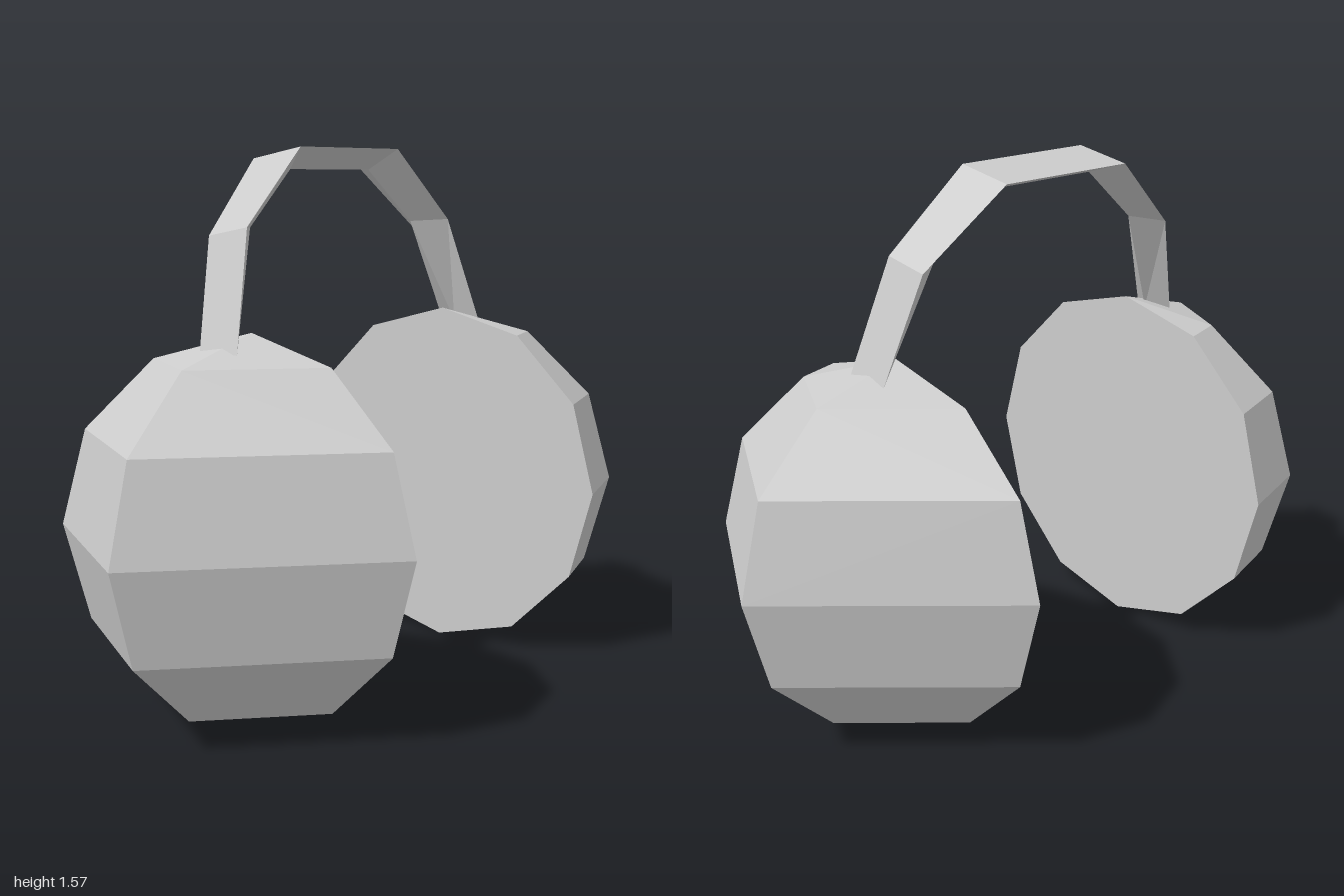
import * as THREE from 'three';
import { ConvexGeometry } from 'three/addons/geometries/ConvexGeometry.js';

const material = new THREE.MeshStandardMaterial({ color: 0xcccccc, flatShading: true });
const RADIUS = 0.54;
const rad = THREE.MathUtils.degToRad;

// Ear cup: a coarse half sphere, flat on the inside, with uneven meridians
function earCup(name, x, z, turn) {
  const points = [new THREE.Vector3(0, RADIUS, 0), new THREE.Vector3(0, -RADIUS, 0)];
  for (const meridian of [-90, 0, 60, 89.3]) {
    const a = rad(meridian + turn);
    for (let lat = -60; lat <= 60; lat += 30) {
      const r = RADIUS * Math.cos(rad(lat));
      points.push(new THREE.Vector3(r * Math.cos(a), RADIUS * Math.sin(rad(lat)), r * Math.sin(a)));
    }
  }
  const mesh = new THREE.Mesh(new ConvexGeometry(points), material);
  mesh.name = name;
  mesh.position.set(x, RADIUS, z);
  return mesh;
}

// Headband: a triangular section (outer front, outer back, inner ridge) swept over the arch
function headband() {
  const sections = [
    [[-0.585, 1.035, 0.06], [-0.58, 1.035, -0.078], [-0.54, 1.035, -0.01]],
    [[-0.48, 1.36, 0.005], [-0.48, 1.335, -0.133], [-0.385, 1.355, -0.07]],
    [[-0.238, 1.573, -0.012], [-0.238, 1.542, -0.186], [-0.192, 1.512, -0.09]],
    [[0.213, 1.573, -0.012], [0.213, 1.542, -0.186], [0.17, 1.512, -0.09]],
    [[0.458, 1.36, 0.005], [0.458, 1.335, -0.133], [0.36, 1.355, -0.07]],
    [[0.56, 1.035, 0.06], [0.555, 1.035, -0.078], [0.525, 1.035, -0.01]],
  ];
  const index = [0, 2, 1];
  const last = (sections.length - 1) * 3;
  index.push(last, last + 1, last + 2);
  for (let s = 0; s < last; s += 3) {
    for (let k = 0; k < 3; k++) {
      const a = s + k, b = s + (k + 1) % 3;
      index.push(a, a + 3, b, b, a + 3, b + 3);
    }
  }
  const geometry = new THREE.BufferGeometry();
  geometry.setAttribute('position', new THREE.Float32BufferAttribute(sections.flat(2), 3));
  geometry.setIndex(index);
  const flat = geometry.toNonIndexed();
  flat.computeVertexNormals();
  const mesh = new THREE.Mesh(flat, material.clone());
  mesh.material.side = THREE.DoubleSide;
  mesh.name = 'headband';
  return mesh;
}

export function createModel() {
  const group = new THREE.Group();
  group.name = 'headphones';
  group.add(
    earCup('leftEarCup', 0.457, -0.01, -2),
    earCup('rightEarCup', -0.462, 0, 179),
    headband(),
  );
  return group;
}
